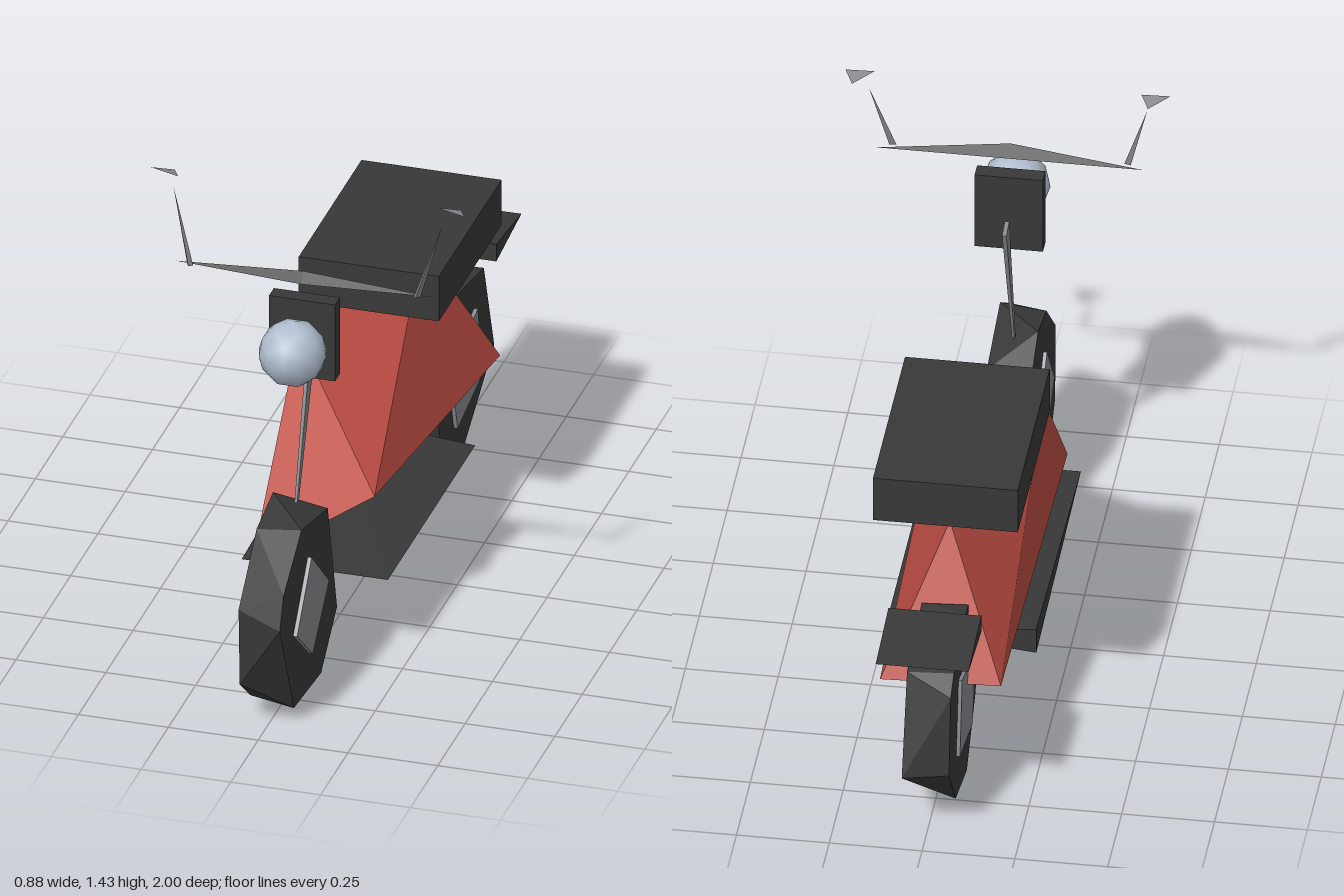
import * as THREE from 'three';
import { ConvexGeometry } from 'three/addons/geometries/ConvexGeometry.js';

export function createModel() {
  const model = new THREE.Group();
  model.name = 'motorScooter';

  const material = (name, color) => {
    const m = new THREE.MeshStandardMaterial({ color });
    m.name = name;
    return m;
  };
  const dark = material('darkRubber', 0x383838);
  const red = material('redPaint', 0xbd4d43);
  const grey = material('greyMetal', 0x87898e);
  const glass = material('lampGlass', 0xb2bfd0);
  grey.side = THREE.DoubleSide;

  const add = (name, geometry, mat, parent = model) => {
    const mesh = new THREE.Mesh(geometry, mat);
    mesh.name = name;
    parent.add(mesh);
    return mesh;
  };
  // Faceted solid spanned by a few corner points
  const solid = (name, points, mat, parent) =>
    add(name, new ConvexGeometry(points.map(p => new THREE.Vector3(...p))), mat, parent);
  const box = (name, [x0, y0, z0], [x1, y1, z1], mat) =>
    add(name, new THREE.BoxGeometry(x1 - x0, y1 - y0, z1 - z0), mat)
      .position.set((x0 + x1) / 2, (y0 + y1) / 2, (z0 + z1) / 2);
  // Place a side outline of [z, y] points at a given x
  const atX = (x, outline) => outline.map(([z, y]) => [x, y, z]);

  // Wheels: two slightly twisted outlines joined into a tyre, with a square hub
  const wheel = (name, leftOutline, rightOutline, hubOutline) => {
    const group = new THREE.Group();
    group.name = name;
    model.add(group);
    solid('tyre', [...atX(0.06, leftOutline), ...atX(-0.065, rightOutline)], dark, group);
    solid('hub', [...atX(0.071, hubOutline), ...atX(-0.075, hubOutline)], grey, group);
  };
  wheel('frontWheel',
    [[1, 0.34], [0.87, 0.045], [0.62, 0.025], [0.475, 0.15], [0.56, 0.49], [0.8, 0.545], [0.965, 0.43]],
    [[0.965, 0.37], [0.955, 0.14], [0.86, 0.06], [0.62, 0.035], [0.47, 0.17], [0.46, 0.3], [0.55, 0.505], [0.65, 0.565], [0.8, 0.53]],
    [[0.743, 0.436], [0.583, 0.286], [0.733, 0.14], [0.877, 0.265]]);
  wheel('rearWheel',
    [[-0.61, 0.535], [-0.87, 0.49], [-0.965, 0.21], [-0.62, 0.005], [-0.475, 0.14], [-0.44, 0.29]],
    [[-0.65, 0.54], [-0.6, 0.535], [-0.86, 0.49], [-0.92, 0.45], [-0.95, 0.22], [-0.83, 0.065], [-0.63, 0.02], [-0.47, 0.17], [-0.46, 0.37]],
    [[-0.78, 0.414], [-0.82, 0.195], [-0.594, 0.147], [-0.535, 0.35]]);

  // Lopsided faceted body
  solid('body', [
    [-0.165, 0.737, 0.09], [0, 0.732, -0.5], [0.16, 0.49, 0.46],
    [0.16, 0.333, -0.69], [-0.165, 0.275, 0.51], [-0.165, 0.34, -0.685],
  ], red);

  box('seat', [-0.197, 0.78, -0.595], [0.193, 0.915, -0.02], dark);

  // Footboard, thick only at its rear right corner
  solid('footboard', [
    [-0.207, 0.285, -0.33], [-0.207, 0.21, -0.33],
    [0.2, 0.25, -0.33], [0.2, 0.25, 0.47], [-0.207, 0.25, 0.47],
  ], dark);

  // Rear mudguard, a wedge thinning towards the back
  solid('rearMudguard', [-0.125, 0.125].flatMap(x =>
    [[x, 0.622, -0.77], [x, 0.57, -0.77], [x, 0.597, -1]]), dark);

  // Front fork, widening upwards
  solid('frontFork', [-0.006, 0.006].flatMap(x => [
    [x, 1.0, 0.525], [x, 0.987, 0.476], [x * 0.6, 0.545, 0.655], [x * 0.6, 0.545, 0.638],
  ]), grey);

  // Headlight and its backing plate
  box('headlightPlate', [-0.093, 0.895, 0.55], [0.091, 1.125, 0.595], dark);
  add('headlight', new THREE.IcosahedronGeometry(0.093, 1), glass).position.set(0, 1.013, 0.685);

  // Handlebar tapering to both ends
  solid('handlebar', [
    [-0.36, 1.175, 0.567], [0.36, 1.175, 0.567],
    [0, 1.21, 0.588], [0, 1.178, 0.604], [0, 1.177, 0.575],
  ], dark);

  // Mirrors: needle stems and flat triangular glasses
  for (const side of [1, -1]) {
    solid('mirrorStem', [
      [side * 0.307, 1.178, 0.585], [side * 0.325, 1.178, 0.58],
      [side * 0.316, 1.182, 0.6], [side * 0.375, 1.385, 0.542],
    ], grey);
    const glassPlate = new THREE.BufferGeometry().setFromPoints([
      new THREE.Vector3(0.36, 1.435, 0.547),
      new THREE.Vector3(0.44, 1.425, 0.558),
      new THREE.Vector3(0.415, 1.416, 0.507),
    ]);
    glassPlate.computeVertexNormals();
    add('mirror', glassPlate, grey).position.x = side > 0 ? 0 : -0.797;
  }

  return model;
}
